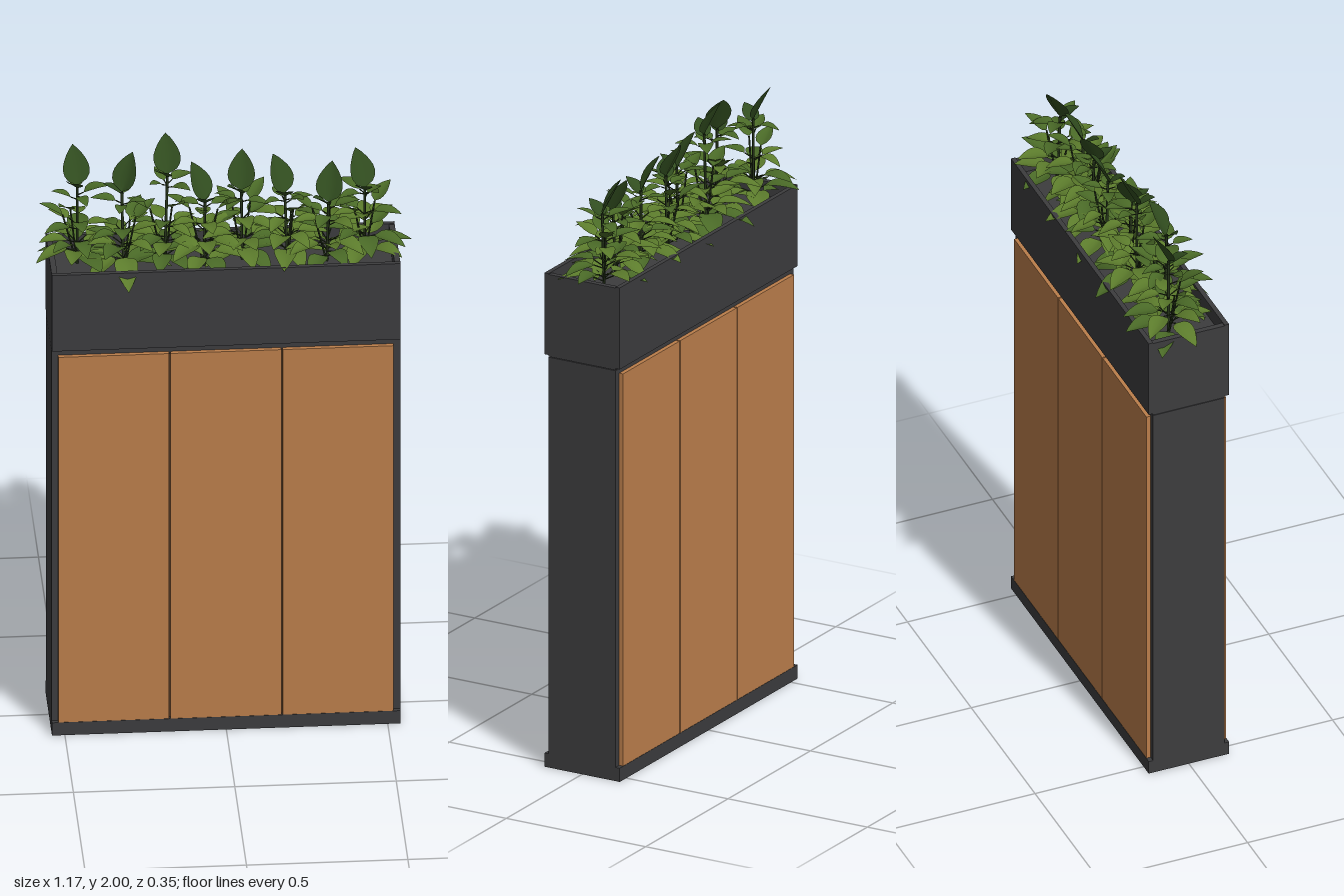
import * as THREE from 'three';
import { mergeGeometries } from 'three/addons/utils/BufferGeometryUtils.js';

const mat = (name, color, side = THREE.FrontSide) => {
  const m = new THREE.MeshStandardMaterial({ color, side });
  m.name = name;
  return m;
};

// Small seeded generator for natural variation
function makeRandom(seed) {
  return () => {
    seed = (seed * 16807) % 2147483647;
    return seed / 2147483647;
  };
}

// Pointed leaf growing along +z: folded at the midrib, bent down at the tip
function leafGeometry(length, width, droop) {
  const g = new THREE.PlaneGeometry(1, 1, 4, 8);
  const p = g.attributes.position;
  for (let i = 0; i < p.count; i++) {
    const s = p.getX(i) * 2, t = p.getY(i) + 0.5;
    const half = 0.5 * width * Math.pow(Math.sin(Math.PI * Math.pow(t, 0.72)), 0.85) || 0;
    const x = s * half;
    p.setXYZ(i, x, Math.abs(x) * 0.3 - droop * length * t * t, t * length);
  }
  g.computeVertexNormals();
  return g;
}

function rod(a, b, r) {
  const curve = new THREE.LineCurve3(a, b);
  return new THREE.TubeGeometry(curve, 1, r, 5, false);
}

export function createModel() {
  const root = new THREE.Group();
  const dark = mat('charcoal frame', 0x3c3c3e);
  const wood = mat('warm wood', 0xbb7e4b);
  const gap = mat('dark wood gap', 0x4a3220);
  const leafLight = mat('light leaf green', 0x5c7c2c, THREE.DoubleSide);
  const leafMid = mat('leaf green', 0x4a6a27, THREE.DoubleSide);
  const leafDark = mat('dark leaf green', 0x314d1f, THREE.DoubleSide);
  const stemMat = mat('stem green', 0x26351a, THREE.DoubleSide);

  const box = (name, material, x0, x1, y0, y1, z0, z1) => {
    const m = new THREE.Mesh(new THREE.BoxGeometry(x1 - x0, y1 - y0, z1 - z0), material);
    m.position.set((x0 + x1) / 2, (y0 + y1) / 2, (z0 + z1) / 2);
    m.name = name;
    root.add(m);
  };

  // Cabinet core and plinth
  box('cabinetCore', dark, -0.54, 0.54, 0.045, 1.35, -0.12, 0.12);
  box('plinth', dark, -0.54, 0.54, 0, 0.045, -0.135, 0.135);

  // Three wooden panels with dark gaps, on front and back
  for (const s of [-1, 1]) {
    const face = (name, m, x0, x1, y0, y1, d0, d1) =>
      box(name, m, x0, x1, y0, y1, Math.min(s * d0, s * d1), Math.max(s * d0, s * d1));
    for (let i = 0; i < 3; i++) {
      const x = -0.52 + i * 0.3475;
      face('woodPanel', wood, x, x + 0.345 - 0.002, 0.045, 1.335, 0.12, 0.134);
    }
    face('panelGapBacking', gap, -0.515, 0.515, 0.046, 1.33, 0.12, 0.124);
    face('planterLongWall', dark, -0.54, 0.54, 1.357, 1.625, 0.12, 0.135);
    // End walls of the trough
    box('planterEndWall', dark, s < 0 ? -0.54 : 0.522, s < 0 ? -0.522 : 0.54, 1.352, 1.622, -0.12, 0.12);
  }
  box('planterFloor', dark, -0.522, 0.522, 1.35, 1.575, -0.12, 0.12);

  // Plants: x, z, height of the topmost tip
  const plants = [
    [-0.45, -0.03, 1.965], [-0.31, 0.02, 1.965], [-0.18, -0.02, 2.0], [-0.06, 0.01, 1.92],
    [0.06, -0.02, 1.935], [0.2, -0.01, 1.925], [0.32, 0.01, 1.9], [0.44, -0.02, 1.93],
  ];
  plants.forEach(([px, pz, top], n) => {
    const rand = makeRandom(9173 + n * 7717);
    for (let k = 0; k < 5; k++) rand();
    const parts = { light: [], mid: [], darker: [], stems: [] };
    const soil = 1.57;
    const crown = new THREE.Vector3((rand() - 0.5) * 0.02, top - 0.115, (rand() - 0.5) * 0.02);
    const foot = new THREE.Vector3(0, soil, 0);
    parts.stems.push(rod(foot, crown, 0.0045));

    // A leaf on a short stalk leaving the main stem at a given height
    const addLeaf = (list, y, yaw, pitch, stalk, length, width, droop) => {
      const f = Math.min(1, (y - soil) / (crown.y - soil));
      const a = foot.clone().lerp(crown, f);
      const b = a.clone().add(new THREE.Vector3(Math.sin(yaw) * stalk, stalk * 0.5, Math.cos(yaw) * stalk));
      if (stalk > 0) parts.stems.push(rod(a, b, 0.002));
      const g = leafGeometry(length, width, droop);
      g.rotateX(-pitch);
      g.rotateY(yaw);
      g.translate(b.x, b.y, b.z);
      list.push(g);
    };

    // Whorls of leaves: count, base height, pitch, stalk, length
    const tiers = [
      [7, 1.605, 0.15, 0.035, 0.105], [7, 1.65, 0.3, 0.035, 0.095],
      [5, 1.71, 0.35, 0.03, 0.08], [4, crown.y - 0.035, 0.4, 0.02, 0.07],
    ];
    tiers.forEach(([count, y, pitch, stalk, len], t) => {
      const turn = rand() * Math.PI * 2;
      for (let i = 0; i < count; i++) {
        const yaw = turn + (i / count) * Math.PI * 2 + (rand() - 0.5) * 0.6;
        const length = len * (0.85 + rand() * 0.3);
        const list = t === 3 ? parts.mid : rand() < 0.65 ? parts.light : parts.mid;
        addLeaf(list, y + (rand() - 0.5) * 0.03, yaw, pitch + (rand() - 0.5) * 0.5,
          stalk, length, length * 0.62, 0.2 + rand() * 0.25);
      }
    });

    // Upright top leaf and a smaller one behind it
    const lean = Math.PI + (rand() - 0.5) * 1.6, pitch = 1.1;
    addLeaf(parts.darker, crown.y, lean, pitch, 0, (top - crown.y) / Math.sin(pitch), 0.085, 0);
    addLeaf(parts.darker, crown.y - 0.01, lean + 2.4, 0.75, 0, 0.075, 0.055, 0.1);

    // Two bare side shoots, each carrying a raised leaf
    for (let i = 0; i < 2; i++) {
      const yaw = rand() * Math.PI * 2;
      const end = new THREE.Vector3(Math.sin(yaw) * 0.045, 1.74 + rand() * 0.05, Math.cos(yaw) * 0.035);
      parts.stems.push(rod(foot, end, 0.003));
      const g = leafGeometry(0.085, 0.052, 0.15);
      g.rotateX(-0.7);
      g.rotateY(yaw);
      g.translate(end.x, end.y, end.z);
      parts.mid.push(g);
    }

    const plant = new THREE.Group();
    plant.name = 'plant';
    plant.position.set(px, 0, pz);
    const add = (name, list, material) => {
      if (!list.length) return;
      const m = new THREE.Mesh(mergeGeometries(list), material);
      m.name = name;
      plant.add(m);
    };
    add('lowerLeaves', parts.light, leafLight);
    add('middleLeaves', parts.mid, leafMid);
    add('topLeaves', parts.darker, leafDark);
    add('stems', parts.stems, stemMat);
    root.add(plant);
  });

  return root;
}
